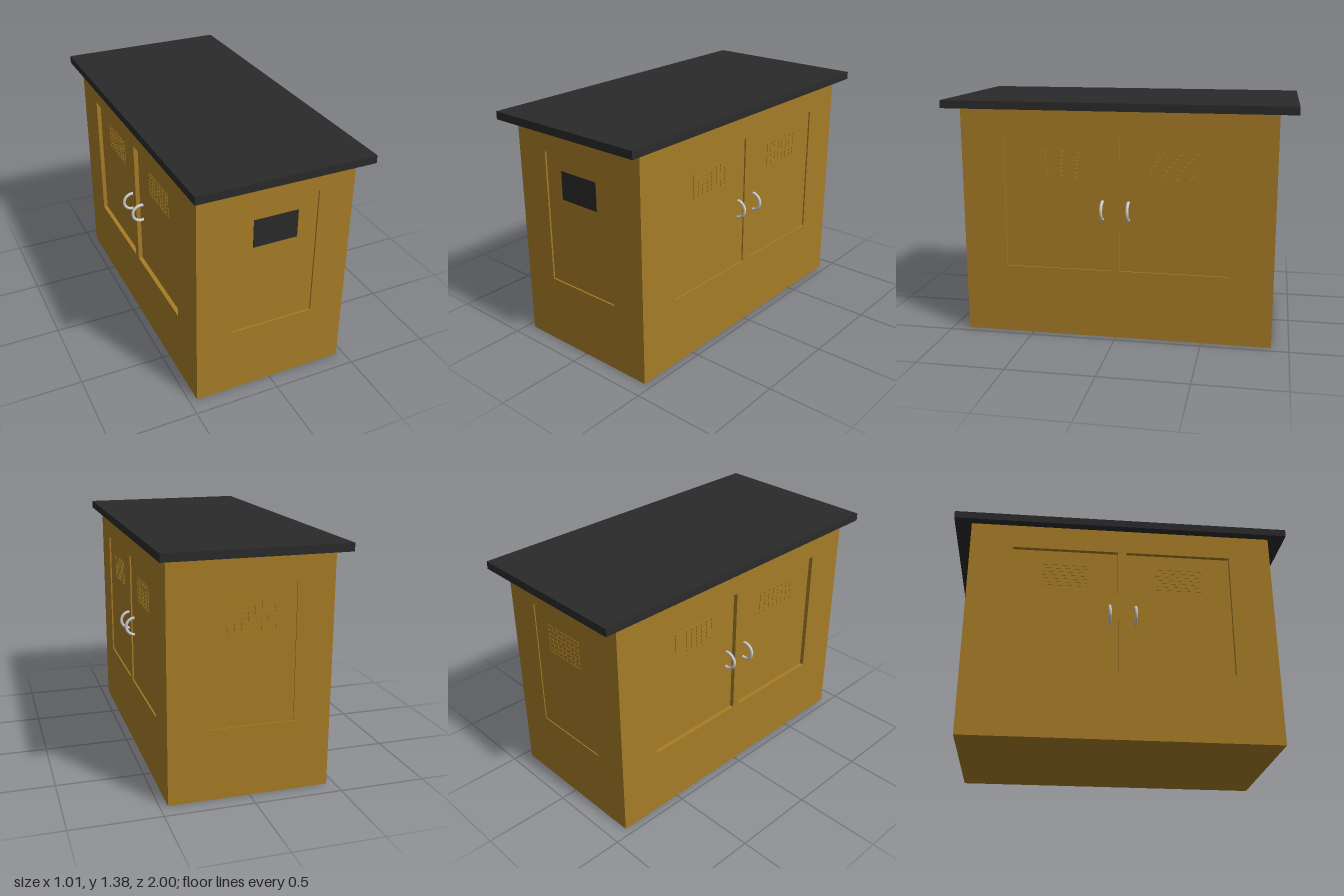
import * as THREE from 'three';

const wallMat = new THREE.MeshStandardMaterial({ color: 0xa67c26 });
const darkMat = new THREE.MeshStandardMaterial({ color: 0x2a2a2a });
const greyMat = new THREE.MeshStandardMaterial({ color: 0xcccccc });

const H = 1.33, HALF_W = 0.455, HALF_L = 0.9, THICK = 0.03;
const DOOR_Y0 = 0.405, DOOR_Y1 = 1.18;

function box(name, w, h, d, x, y, z, mat = wallMat) {
  const mesh = new THREE.Mesh(new THREE.BoxGeometry(w, h, d), mat);
  mesh.name = name;
  mesh.position.set(x, y, z);
  return mesh;
}

// Thin crossed bars over a vent, standing on the plane z
function grille(x, y, w, h, z, cols, rows) {
  const g = new THREE.Group();
  g.name = 'ventGrille';
  const t = 0.005;
  for (let i = 0; i <= cols; i++)
    g.add(box('verticalBar', t, h, t, x + w * (i / cols - 0.5), y, z));
  for (let j = 0; j <= rows; j++)
    g.add(box('horizontalBar', w, t, t, x, y + h * (j / rows - 0.5), z));
  return g;
}

// Wall facing +z with its outer surface at z = out, and a recessed slab in each doorway
function wall(name, width, out, doors, recess) {
  const g = new THREE.Group();
  g.name = name;
  const shape = new THREE.Shape([
    new THREE.Vector2(-width / 2, 0), new THREE.Vector2(width / 2, 0),
    new THREE.Vector2(width / 2, H), new THREE.Vector2(-width / 2, H),
  ]);
  for (const [x0, x1] of doors) {
    shape.holes.push(new THREE.Path([
      new THREE.Vector2(x0, DOOR_Y0), new THREE.Vector2(x0, DOOR_Y1),
      new THREE.Vector2(x1, DOOR_Y1), new THREE.Vector2(x1, DOOR_Y0),
    ]));
    const d = THICK - recess;
    g.add(box('door', x1 - x0, DOOR_Y1 - DOOR_Y0, d,
      (x0 + x1) / 2, (DOOR_Y0 + DOOR_Y1) / 2, out - recess - d / 2));
  }
  const panel = new THREE.Mesh(
    new THREE.ExtrudeGeometry(shape, { depth: THICK, bevelEnabled: false }), wallMat);
  panel.name = 'wallPanel';
  panel.position.z = out - THICK;
  g.add(panel);
  return g;
}

// Long side: a pair of doors with vents and ring handles
function sideWall(name, recess) {
  const g = wall(name, HALF_L * 2, HALF_W, [[-0.648, -0.025], [0.025, 0.648]], recess);
  for (const s of [-1, 1]) {
    g.add(grille(s * 0.34, 1.02, 0.27, 0.138, HALF_W - recess, 7, 6));
    const ring = new THREE.Mesh(new THREE.TorusGeometry(0.051, 0.009, 12, 40), greyMat);
    ring.name = 'ringHandle';
    ring.rotation.y = Math.PI / 2;
    ring.position.set(s * 0.075, 0.76, 0.445);
    g.add(ring);
  }
  return g;
}

export function createModel() {
  const model = new THREE.Group();
  model.name = 'shed';

  // Solid core behind the wall panels
  model.add(box('core', 2 * (HALF_W - THICK), H, 2 * (HALF_L - THICK), 0, H / 2, 0));

  // Overhanging flat roof
  model.add(box('roof', 1.01, 0.045, 2, 0, H + 0.0225, 0, darkMat));

  // End walls, each with one door
  const endWidth = 2 * (HALF_W - THICK);
  const front = wall('frontWall', endWidth, HALF_L, [[-0.245, 0.245]], 0.01);
  front.add(box('darkWindow', 0.26, 0.165, 0.006, 0, 1.0075, HALF_L - 0.01, darkMat));
  const back = wall('backWall', endWidth, HALF_L, [[-0.245, 0.245]], 0.006);
  back.add(grille(0, 1.0075, 0.26, 0.165, HALF_L - 0.006, 7, 6));
  back.rotation.y = Math.PI;

  // Long walls
  const right = sideWall('plusXWall', 0.009);
  right.rotation.y = Math.PI / 2;
  const left = sideWall('minusXWall', 0.025);
  left.rotation.y = -Math.PI / 2;

  model.add(front, back, right, left);
  return model;
}
